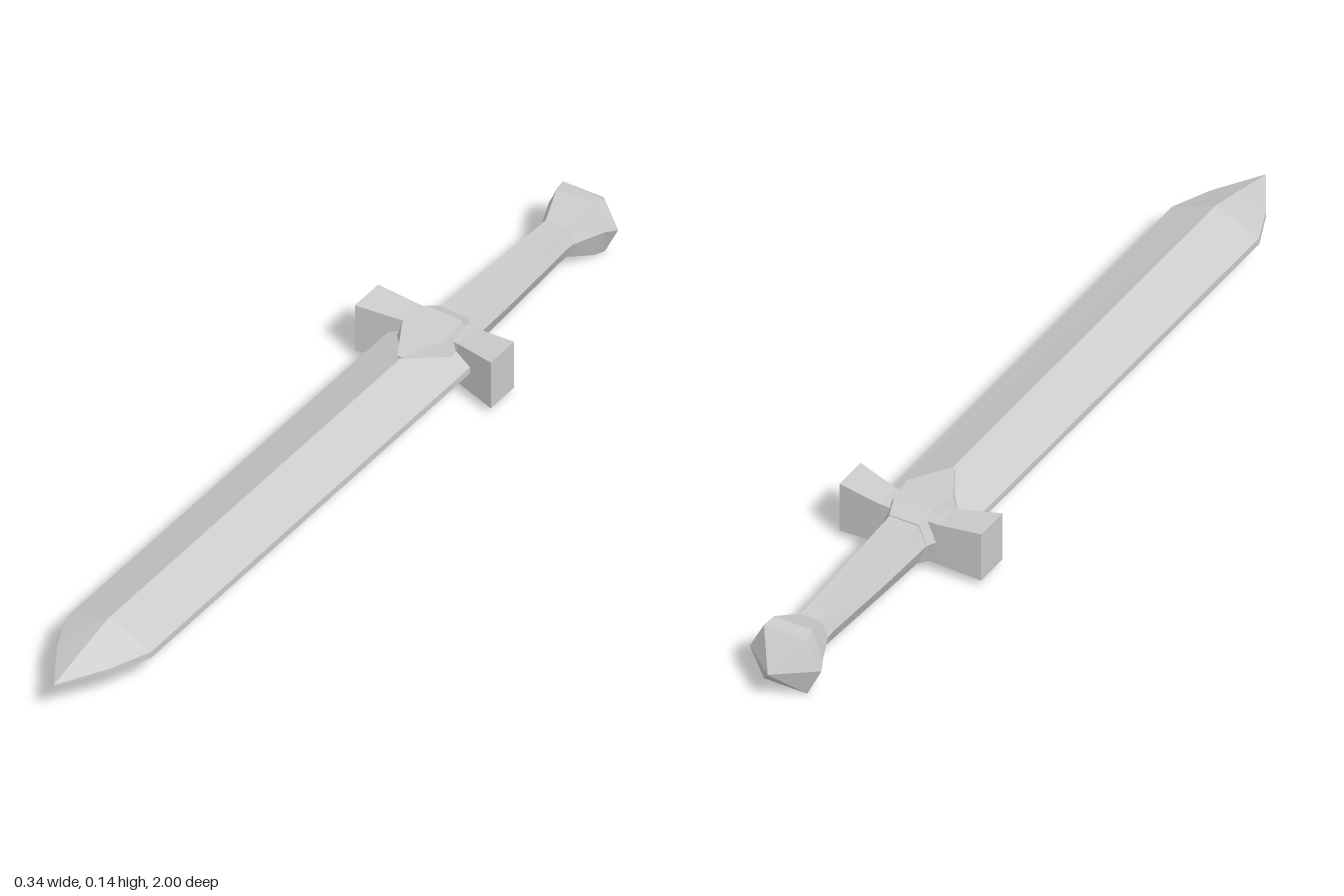
import * as THREE from 'three';

const MID = 0.082; // height of the long axis
const material = new THREE.MeshStandardMaterial({ color: 0xcccccc, flatShading: true });

// Skin a row of { z, ring } sections; rings run counter-clockwise seen from +z
function loft(name, sections) {
  const pos = [];
  const tri = (...corners) => corners.forEach((c) => pos.push(...c));
  const rings = sections.map(({ z, ring }) => ring.map(([x, y]) => [x, y, z]));
  const n = rings[0].length;
  for (let s = 0; s < rings.length - 1; s++) {
    const a = rings[s], b = rings[s + 1];
    for (let i = 0; i < n; i++) {
      const j = (i + 1) % n;
      tri(a[i], a[j], b[j]);
      tri(a[i], b[j], b[i]);
    }
  }
  const first = rings[0], last = rings[rings.length - 1];
  for (let i = 1; i < n - 1; i++) {
    tri(first[0], first[i + 1], first[i]);
    tri(last[0], last[i], last[i + 1]);
  }
  const geometry = new THREE.BufferGeometry();
  geometry.setAttribute('position', new THREE.Float32BufferAttribute(pos, 3));
  geometry.computeVertexNormals();
  const mesh = new THREE.Mesh(geometry, material);
  mesh.name = name;
  return mesh;
}

// Flattened diamond with thin blunt edges: half width, edge thickness, ridge heights
const bladeRing = (z, w, edge, top, bottom, cx = 0.004) => ({
  z,
  ring: [[cx + w, MID - edge], [cx + w, MID + edge], [cx, top],
    [cx - w, MID + edge], [cx - w, MID - edge], [cx, bottom]],
});

// Hexagon with corners at the sides: half width, half width of the flats, bottom, top
const hexRing = (z, w, flat, bottom, top, mid = MID) => ({
  z,
  ring: [[w, mid], [flat, top], [-flat, top], [-w, mid], [-flat, bottom], [flat, bottom]],
});

// Plain rectangle
const boxRing = (z, x0, x1, y0, y1) => ({ z, ring: [[x1, y0], [x1, y1], [x0, y1], [x0, y0]] });

export function createModel() {
  const sword = new THREE.Group();
  sword.name = 'sword';

  // Blade, ridged down the middle and drawn to a point
  sword.add(loft('blade', [
    bladeRing(-0.4, 0.103, 0.008, 0.133, 0.037),
    bladeRing(0.8, 0.105, 0.008, 0.133, 0.037),
    bladeRing(0.89, 0.068, 0.006, 0.113, 0.058),
    bladeRing(1.0, 0.001, 0.001, 0.086, 0.08),
  ]));

  // Crossguard, narrow in the middle and flared at both ends
  const guard = loft('crossguard', [
    boxRing(-0.17, 0.345, 0.43, 0.021, 0.14),
    boxRing(-0.07, 0.37, 0.435, 0.028, 0.129),
    boxRing(0.07, 0.37, 0.435, 0.028, 0.129),
    boxRing(0.17, 0.345, 0.43, 0.021, 0.14),
  ]);
  guard.rotation.y = Math.PI / 2;
  sword.add(guard);

  // Faceted collar whose front runs to a point along the blade ridge
  sword.add(loft('collar', [
    hexRing(-0.455, 0.055, 0.035, 0.03, 0.128),
    hexRing(-0.42, 0.072, 0.045, 0.02, 0.147),
    hexRing(-0.35, 0.075, 0.055, 0.024, 0.143),
    hexRing(-0.26, 0.008, 0.005, 0.032, 0.136),
  ]));

  // Grip, tapering towards the pommel
  sword.add(loft('grip', [
    hexRing(-0.84, 0.042, 0.026, 0.043, 0.117),
    hexRing(-0.8, 0.041, 0.024, 0.041, 0.119),
    hexRing(-0.62, 0.05, 0.03, 0.037, 0.122),
    hexRing(-0.43, 0.055, 0.035, 0.032, 0.126),
  ]));

  // Pommel, a cut-gem knob with a pointed end
  sword.add(loft('pommel', [
    hexRing(-1.0, 0.001, 0.001, 0.077, 0.079, 0.078),
    hexRing(-0.93, 0.086, 0.052, 0.005, 0.142, 0.075),
    hexRing(-0.9, 0.072, 0.046, 0.012, 0.147),
    hexRing(-0.83, 0.042, 0.026, 0.043, 0.117),
  ]));

  return sword;
}
